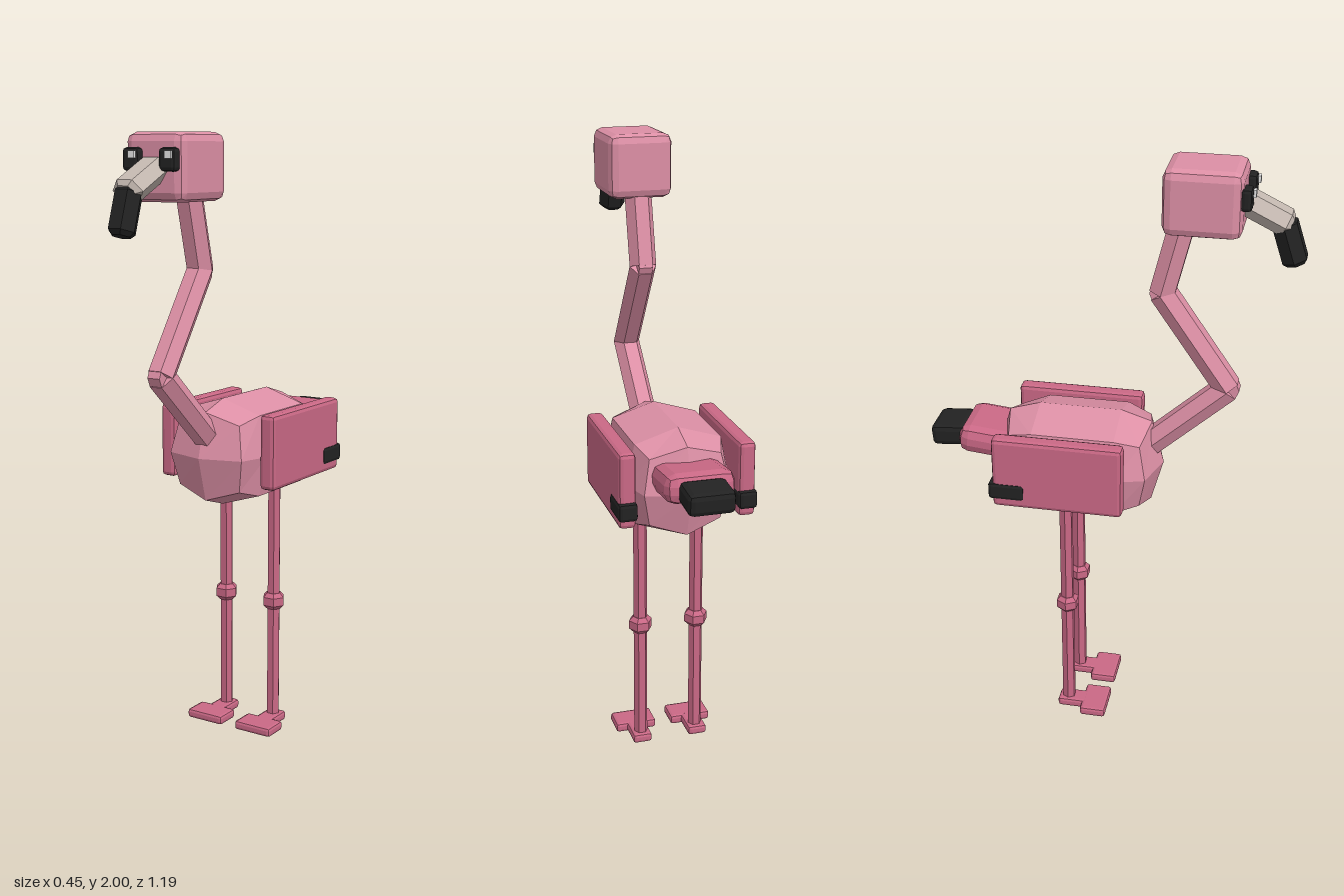
import * as THREE from 'three';
import { RoundedBoxGeometry } from 'three/addons/geometries/RoundedBoxGeometry.js';

const material = (name, color) => {
  const m = new THREE.MeshStandardMaterial({ color });
  m.name = name;
  return m;
};

export function createModel() {
  const model = new THREE.Group();
  model.name = 'wadingBird';
  const pink = material('soft pink', 0xdc8fa5);
  const rose = material('deep rose', 0xc96885);
  const grey = material('beak grey', 0xc4b8b0);
  const black = material('black', 0x222222);
  const white = material('eye white', 0xf2f2f2);

  // Faceted mesh from any geometry
  function add(name, geometry, mat, x = 0, y = 0, z = 0) {
    const flat = geometry.index ? geometry.toNonIndexed() : geometry;
    flat.computeVertexNormals();
    const mesh = new THREE.Mesh(flat, mat);
    mesh.name = name;
    mesh.position.set(x, y, z);
    model.add(mesh);
    return mesh;
  }

  // Box with one chamfer along its edges
  const block = (name, mat, [w, h, d], [x, y, z], bevel) =>
    add(name, new RoundedBoxGeometry(w, h, d, 1, bevel), mat, x, y, z);

  // Six-sided rod between two [y, z] points, with optional chamfered ends
  function rod(name, mat, x, [y0, z0], [y1, z1], r, bevel = 0, widen = 1) {
    const h = Math.hypot(y1 - y0, z1 - z0) / 2;
    const profile = [[0, -h], [r - bevel, -h], [r, bevel - h], [r, h - bevel], [r - bevel, h], [0, h]];
    const points = profile
      .filter((p, i) => bevel > 0 || (i !== 2 && i !== 3))
      .map(([a, b]) => new THREE.Vector2(a, b));
    const geometry = new THREE.LatheGeometry(points, 6, Math.PI / 2);
    geometry.scale(widen, 1, 1);
    const mesh = add(name, geometry, mat, x, (y0 + y1) / 2, (z0 + z1) / 2);
    mesh.rotation.x = Math.atan2(z1 - z0, y1 - y0);
    return mesh;
  }

  // Body: a box whose edges and corners are drawn in
  const body = new THREE.BoxGeometry(2, 2, 2, 2, 2, 3);
  const pos = body.attributes.position;
  for (let i = 0; i < pos.count; i++) {
    const x = Math.round(pos.getX(i)), y = Math.round(pos.getY(i)), z = pos.getZ(i);
    const end = Math.abs(z) > 0.9;
    const taper = end ? 0.82 : 1;
    const depth = end ? [0.277, 0.237, 0.215][Math.abs(x) + Math.abs(y)] : 0.135;
    pos.setXYZ(i,
      x * 0.168 * taper * (y ? 0.84 : 1),
      y * 0.177 * taper * (x ? 0.75 : 1),
      Math.sign(z) * depth);
  }
  add('body', body, pink, 0, 0.978, -0.102);

  // Neck: three straight lengths
  const neck = [[1.02, 0.10], [1.27, 0.375], [1.58, 0.16], [1.84, 0.225]];
  for (let i = 0; i < 3; i++) rod('neck', pink, 0, neck[i], neck[i + 1], 0.045);
  // Joint fillers at the two bends
  for (const [y, z] of neck.slice(1, 3)) {
    const joint = add('neckJoint', new THREE.CylinderGeometry(0.038, 0.038, 0.045, 8), pink, 0, y, z);
    joint.rotation.z = Math.PI / 2;
  }

  // Head and beak
  block('head', pink, [0.21, 0.205, 0.24], [0, 1.8975, 0.285], 0.028);
  rod('beak', grey, 0, [1.9, 0.385], [1.825, 0.54], 0.042, 0.014, 1.3);
  rod('beakTip', black, 0, [1.84, 0.518], [1.703, 0.563], 0.043, 0.014, 1.05);

  // Eyes, with glints both lying toward the same side
  for (const s of [-1, 1]) {
    block('eye', black, [0.06, 0.07, 0.035], [s * 0.066, 1.92, 0.413], 0.012);
    add('eyeGlint', new THREE.BoxGeometry(0.022, 0.022, 0.009), white, s * 0.066 + 0.011, 1.934, 0.434);
  }

  // Tail
  block('tail', rose, [0.222, 0.095, 0.2], [0, 1.035, -0.395], 0.035).rotation.x = 0.1;
  block('tailTip', black, [0.148, 0.072, 0.12], [0, 1.035, -0.535], 0.018).rotation.x = -0.08;

  for (const s of [-1, 1]) {
    // Wings
    block('wing', rose, [0.055, 0.245, 0.425], [s * 0.193, 1.0, -0.138], 0.014);
    block('wingTip', black, [0.062, 0.06, 0.12], [s * 0.194, 0.935, -0.304], 0.012);
    // Legs
    rod('leg', rose, s * 0.096, [0.02, -0.135], [0.87, -0.135], 0.023);
    rod('knee', rose, s * 0.096, [0.412, -0.135], [0.468, -0.135], 0.039, 0.014);
    // Feet: wide toes and a narrow heel
    block('toes', rose, [0.14, 0.032, 0.09], [s * 0.097, 0.018, -0.039], 0.01);
    block('heel', rose, [0.065, 0.032, 0.105], [s * 0.097, 0.018, -0.117], 0.01);
  }

  return model;
}
